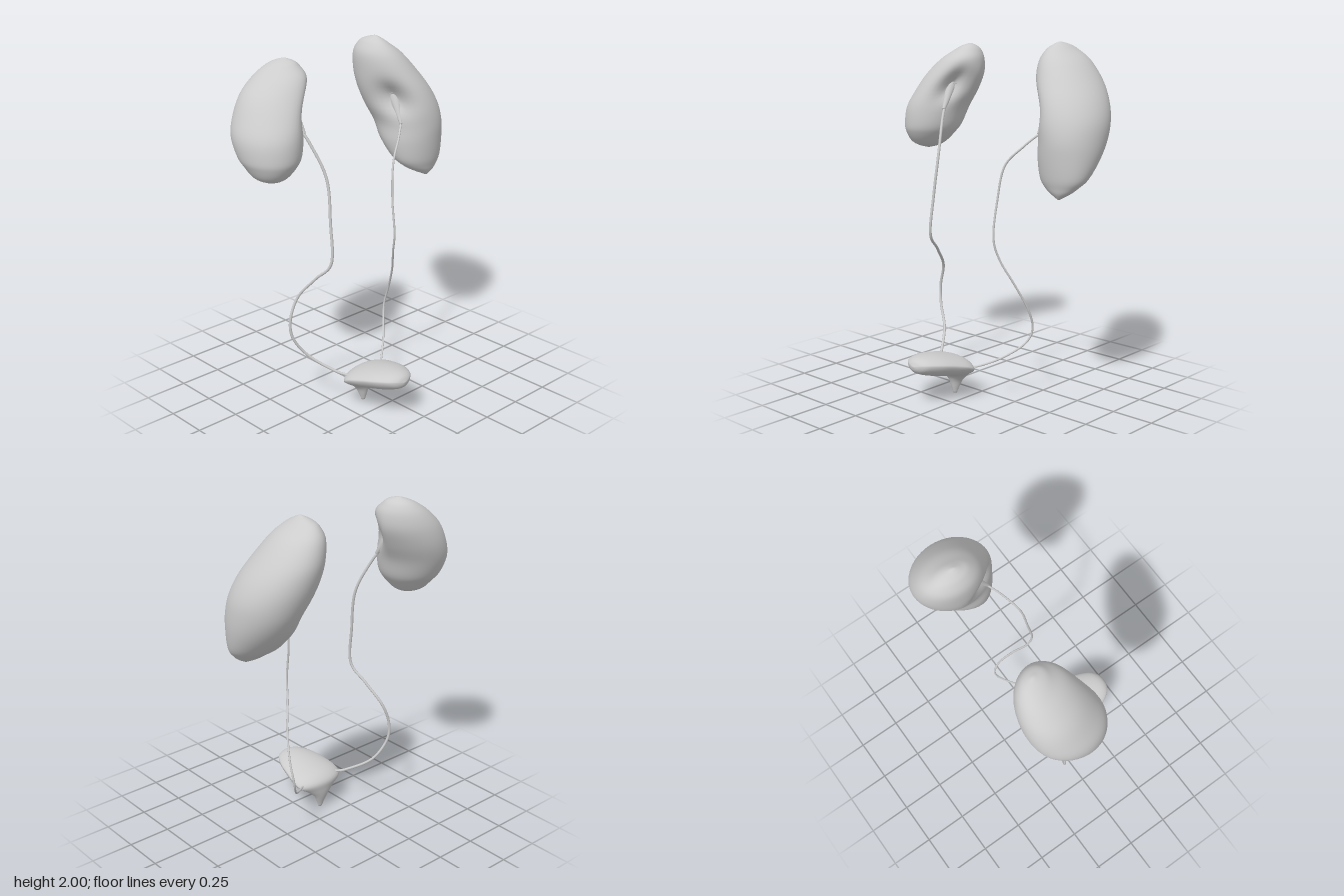
import * as THREE from 'three';

const V = (p) => new THREE.Vector3(...p);
const spline = (pts) => new THREE.CatmullRomCurve3(pts.map(V), false, 'catmullrom', 0.5);

// Skin a smooth closed surface over a list of rings, with a pole at both ends
function loft(rings) {
  const n = rings[0].length, m = rings.length, pos = [], idx = [];
  rings.forEach((r) => r.forEach((p) => pos.push(p.x, p.y, p.z)));
  for (const r of [rings[0], rings[m - 1]]) {
    const c = r.reduce((s, p) => s.add(p), new THREE.Vector3()).divideScalar(n);
    pos.push(c.x, c.y, c.z);
  }
  for (let j = 0; j < n; j++) {
    const k = (j + 1) % n, top = (m - 1) * n;
    for (let i = 0; i < m - 1; i++) {
      const a = i * n + j, b = i * n + k;
      idx.push(a, a + n, b, b, a + n, b + n);
    }
    idx.push(m * n, j, k, m * n + 1, top + k, top + j);
  }
  const g = new THREE.BufferGeometry();
  g.setAttribute('position', new THREE.Float32BufferAttribute(pos, 3));
  g.setIndex(idx);
  g.computeVertexNormals();
  return g;
}

// Bean body: rows are [y, xMin, xMax, zBack, zFront]; a hollow is pressed in at the hilum,
// and the sections are skewed by an amount that changes from bottom to top
function kidney(rows, side, hilumY, skewLow, skewHigh) {
  const xs = spline(rows.map(([y, a, b]) => [a, y, b]));
  const zs = spline(rows.map(([y, , , a, b]) => [a, y, b]));
  const hilum = side > 0 ? Math.PI * 0.8 : Math.PI * 0.2;
  const rings = [];
  const steps = 48, around = 48;
  for (let i = 0; i <= steps; i++) {
    const px = xs.getPoint(i / steps), pz = zs.getPoint(i / steps);
    const skew = skewLow + (skewHigh - skewLow) * (i / steps);
    const ring = [];
    for (let j = 0; j < around; j++) {
      const t = (j / around) * Math.PI * 2;
      const dent = 0.42 * Math.exp(-(((px.y - hilumY) / 0.09) ** 2) - ((t - hilum) / 0.48) ** 2);
      const k = (1 - dent) / 2;
      ring.push(new THREE.Vector3(
        (px.x + px.z) / 2 + (px.z - px.x) * k * Math.cos(t),
        px.y,
        (pz.x + pz.z) / 2 + (pz.z - pz.x) * k * Math.sin(t + skew)));
    }
    rings.push(ring);
  }
  return loft(rings);
}

// Bladder: rows are [halfWidth, frontY, frontZ, backY, backZ] from the neck to the front dome
function bladder(rows, cx) {
  const front = spline(rows.map(([w, y, z]) => [w, y, z]));
  const back = spline(rows.map(([w, , , y, z]) => [w, y, z]));
  const rings = [];
  for (let i = 0; i <= 40; i++) {
    const f = front.getPoint(i / 40), b = back.getPoint(i / 40);
    const ring = [];
    for (let j = 0; j < 40; j++) {
      // Lens section with its widest line nearer the back and top face
      const t = (j / 40) * Math.PI * 2, v = Math.sin(t) * Math.abs(Math.sin(t)) ** 0.3;
      const s = 0.38 + v * (v > 0 ? 0.62 : 0.38);
      ring.push(new THREE.Vector3(
        cx + f.x * Math.cos(t), b.y + (f.y - b.y) * s, b.z + (f.z - b.z) * s));
    }
    rings.push(ring);
  }
  return loft(rings);
}

// Cone between two points
function funnel(from, to, r0, r1) {
  const a = V(from), d = V(to).sub(a), len = d.length();
  const g = new THREE.CylinderGeometry(r1, r0, len, 14);
  g.applyQuaternion(new THREE.Quaternion().setFromUnitVectors(new THREE.Vector3(0, 1, 0), d.normalize()));
  return g.translate(...a.addScaledVector(d, len / 2).toArray());
}

export function createModel() {
  const group = new THREE.Group();
  const tissue = new THREE.MeshStandardMaterial({ color: 0xcccccc });
  tissue.name = 'tissueGrey';
  const add = (name, geometry) => {
    const mesh = new THREE.Mesh(geometry, tissue);
    mesh.name = name;
    group.add(mesh);
  };
  const tube = (pts, r, seg = 120) => new THREE.TubeGeometry(spline(pts), seg, r, 8);

  // Kidneys
  add('leftKidney', kidney([
    [1.19, 0.525, 0.535, -0.025, -0.01], [1.22, 0.46, 0.585, -0.085, 0.01], [1.25, 0.41, 0.62, -0.13, 0.02],
    [1.3, 0.365, 0.66, -0.2, 0.033], [1.4, 0.335, 0.685, -0.295, 0.045], [1.5, 0.328, 0.692, -0.36, 0.05],
    [1.6, 0.285, 0.682, -0.405, 0.04], [1.7, 0.255, 0.642, -0.435, 0.01], [1.8, 0.245, 0.575, -0.445, -0.04],
    [1.9, 0.245, 0.49, -0.42, -0.1], [1.96, 0.275, 0.41, -0.37, -0.16], [1.985, 0.305, 0.375, -0.32, -0.205],
    [2.0, 0.335, 0.345, -0.26, -0.24]], 1, 1.66, 0.15, -0.1));
  add('rightKidney', kidney([
    [1.36, -0.545, -0.53, -0.13, -0.11], [1.375, -0.6, -0.48, -0.19, -0.06], [1.4, -0.64, -0.445, -0.24, -0.02],
    [1.45, -0.67, -0.4, -0.29, 0.015], [1.5, -0.688, -0.37, -0.335, 0.03], [1.6, -0.69, -0.34, -0.385, 0.025],
    [1.7, -0.65, -0.285, -0.408, -0.005], [1.8, -0.59, -0.24, -0.405, -0.05], [1.88, -0.505, -0.238, -0.38, -0.1],
    [1.93, -0.43, -0.26, -0.345, -0.16], [1.955, -0.38, -0.285, -0.31, -0.195],
    [1.97, -0.335, -0.32, -0.265, -0.245]], -1, 1.74, -0.1, 0.25));

  // Ureters, running from each hilum into the back corners of the bladder
  add('leftUreter', tube([
    [0.41, 1.56, -0.1], [0.36, 1.52, -0.06], [0.29, 1.45, -0.01], [0.2, 1.34, 0.04], [0.17, 1.15, 0.065],
    [0.165, 0.95, 0.09], [0.185, 0.82, 0.06], [0.24, 0.68, 0.0], [0.282, 0.53, -0.07], [0.284, 0.41, -0.108],
    [0.25, 0.32, -0.08], [0.16, 0.24, 0.01], [0.06, 0.19, 0.095], [0.015, 0.185, 0.13]], 0.006));
  add('rightUreter', tube([
    [-0.375, 1.64, -0.1], [-0.345, 1.55, -0.04], [-0.3, 1.36, 0.04], [-0.308, 1.12, 0.075], [-0.32, 0.9, 0.092],
    [-0.355, 0.79, 0.0], [-0.4, 0.67, -0.095], [-0.443, 0.54, -0.115], [-0.435, 0.42, -0.108],
    [-0.36, 0.3, -0.06], [-0.265, 0.215, 0.06], [-0.22, 0.195, 0.12]], 0.008));

  // Renal pelvis and vessel stubs sunk inside each hilum
  add('leftPelvis', funnel([0.355, 1.52, -0.055], [0.39, 1.67, -0.15], 0.008, 0.04));
  add('rightPelvis', funnel([-0.36, 1.6, -0.065], [-0.385, 1.75, -0.16], 0.01, 0.038));
  for (const [name, x, y, z] of [['left', 0.345, 1.7, -0.13], ['right', -0.345, 1.78, -0.15]]) {
    const s = Math.sign(x);
    for (const dy of [-0.025, 0.025]) {
      add(name + 'VesselStub', tube([
        [x, y + dy, z + 0.01], [x + s * 0.03, y + dy * 1.3, z - 0.02],
        [x + s * 0.09, y + dy * 1.8, z - 0.07]], 0.015, 12));
    }
  }

  // Bladder with its tapering neck
  add('bladder', bladder([
    [0.012, 0.0, 0.127, 0.0, 0.108], [0.026, 0.035, 0.137, 0.035, 0.097], [0.05, 0.08, 0.15, 0.085, 0.08],
    [0.095, 0.112, 0.17, 0.135, 0.07], [0.152, 0.13, 0.205, 0.188, 0.068], [0.163, 0.14, 0.25, 0.23, 0.115],
    [0.15, 0.153, 0.31, 0.258, 0.2], [0.128, 0.17, 0.37, 0.277, 0.3], [0.09, 0.192, 0.425, 0.279, 0.385],
    [0.05, 0.212, 0.445, 0.265, 0.43], [0.01, 0.233, 0.451, 0.24, 0.449]], -0.105));

  return group;
}
